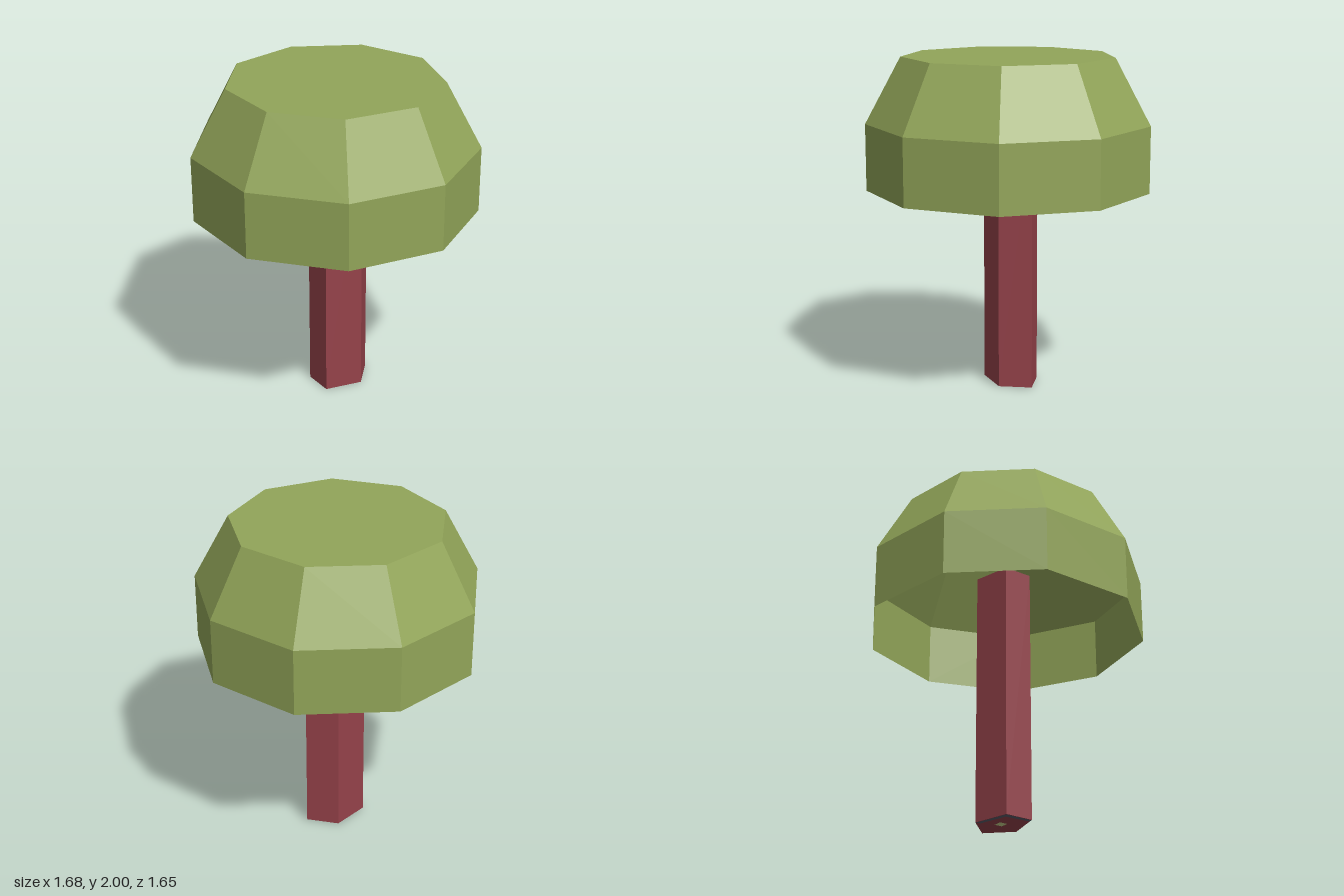
import * as THREE from 'three';

const flat = (name, color, extra = {}) => {
  const m = new THREE.MeshStandardMaterial({ color, flatShading: true, ...extra });
  m.name = name;
  return m;
};

export function createModel() {
  const group = new THREE.Group();
  group.name = 'tree';
  const leafGreen = flat('leaf green', 0x92a559, { side: THREE.DoubleSide });
  const barkRed = flat('bark red', 0x95424a);
  const slate = flat('slate', 0x5a5c68);
  const paleGreen = flat('pale green', 0xc8d28c);

  const add = (name, geometry, material) => {
    const mesh = new THREE.Mesh(geometry, material);
    mesh.name = name;
    group.add(mesh);
    return mesh;
  };

  // Nine-sided canopy: upright band, sloped shoulder and flat top, open below
  const profile = [[0.853, 1.205], [0.853, 1.605], [0.639, 2], [0, 2]]
    .map(([r, y]) => new THREE.Vector2(r, y));
  add('canopy', new THREE.LatheGeometry(profile, 9, Math.PI), leafGreen).position.z = 0.024;

  // Five-sided trunk, deeper than wide, reaching up inside the canopy
  const trunkGeo = new THREE.CylinderGeometry(1, 1, 1.58, 5, 1, false, Math.PI);
  trunkGeo.scale(0.153, 1, 0.202);
  add('trunk', trunkGeo, barkRed).position.set(0, 0.793, -0.008);

  // Thin painted details on the underside of the trunk, points given as x, z
  const underside = (name, points, material) => {
    const shape = new THREE.Shape(points.map(([x, z]) => new THREE.Vector2(x, z)));
    add(name, new THREE.ShapeGeometry(shape).rotateX(Math.PI / 2), material).position.y = 0.001;
  };
  underside('trunkBaseEdge', [
    [0.09, 0.155], [-0.09, 0.155], [-0.145, -0.07], [-0.115, -0.06], [-0.068, 0.12], [0.09, 0.13],
  ], slate);
  underside('trunkBaseSpot', [
    [0.015, -0.035], [0.015, 0.02], [-0.035, 0.02], [-0.035, -0.035],
  ], paleGreen);

  return group;
}
